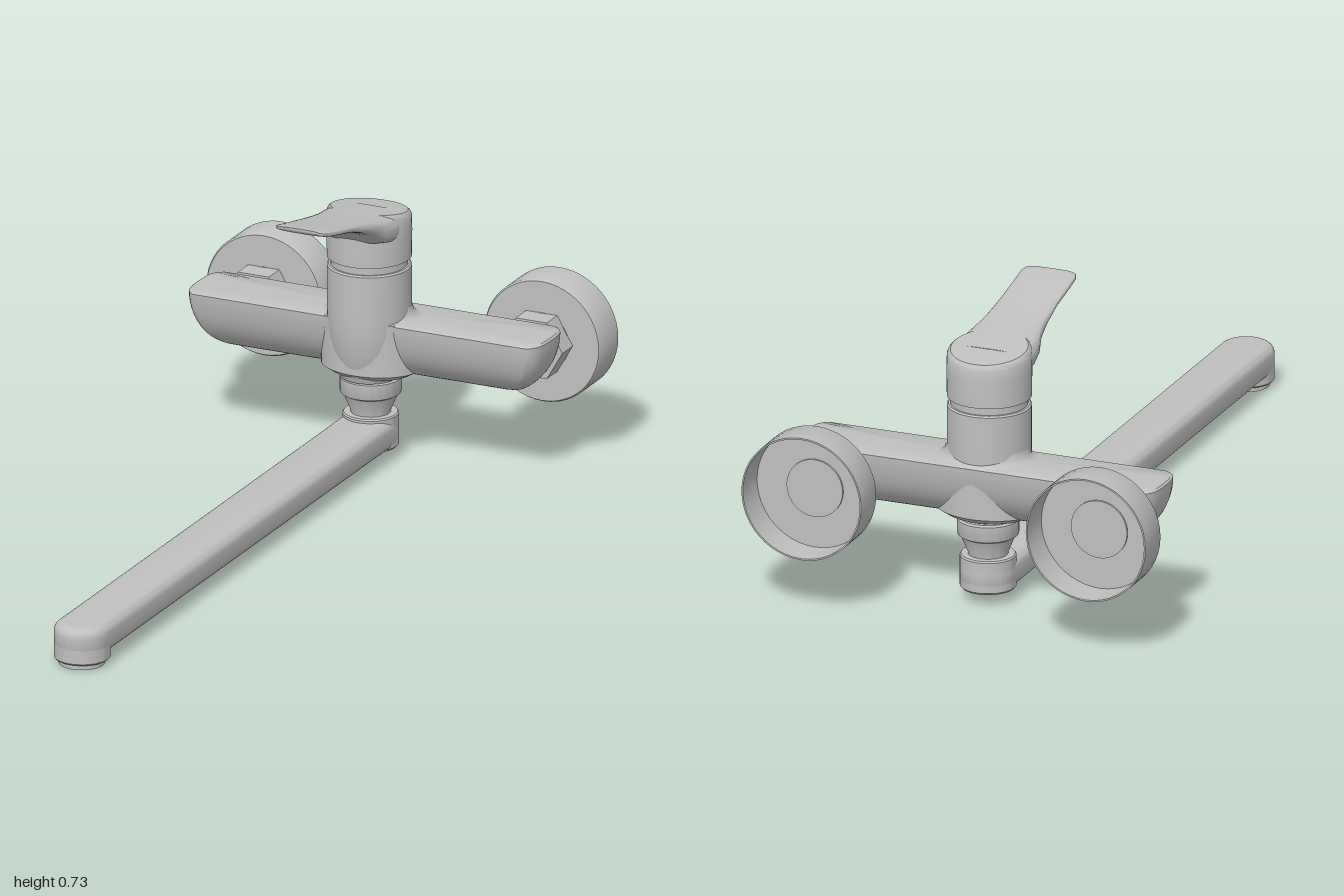
import * as THREE from 'three';
import { toCreasedNormals } from 'three/addons/utils/BufferGeometryUtils.js';

const V = (x, y, z) => new THREE.Vector3(x, y, z);

// Skin a list of closed rings (counter-clockwise about the direction of travel) and cap both ends
function loft(rings) {
  const n = rings[0].length, pos = [], idx = [];
  rings.forEach(r => r.forEach(p => pos.push(p.x, p.y, p.z)));
  for (let i = 0; i < rings.length - 1; i++) {
    for (let j = 0; j < n; j++) {
      const a = i * n + j, b = i * n + (j + 1) % n;
      idx.push(a, b, a + n, b, b + n, a + n);
    }
  }
  [0, rings.length - 1].forEach((i, end) => {
    const c = V(0, 0, 0);
    rings[i].forEach(p => c.addScaledVector(p, 1 / n));
    const k = pos.length / 3;
    pos.push(c.x, c.y, c.z);
    for (let j = 0; j < n; j++) {
      const a = i * n + j, b = i * n + (j + 1) % n;
      if (end) idx.push(k, a, b); else idx.push(k, b, a);
    }
  });
  const g = new THREE.BufferGeometry();
  g.setAttribute('position', new THREE.Float32BufferAttribute(pos, 3));
  g.setIndex(idx);
  return g;
}

// Profile is [radius, height] from the bottom up
const lathe = profile => new THREE.LatheGeometry(profile.map(p => new THREE.Vector2(p[0], p[1])), 48);

export function createModel() {
  const group = new THREE.Group();
  const metal = new THREE.MeshStandardMaterial({ color: 0xc0c0c0 });
  metal.name = 'satin metal';
  const add = (name, geometry, x = 0, y = 0, z = 0, crease = 0.6) => {
    const mesh = new THREE.Mesh(toCreasedNormals(geometry, crease), metal);
    mesh.name = name;
    mesh.position.set(x, y, z);
    group.add(mesh);
    return mesh;
  };

  // Horizontal body: flat top, round belly, ends curving in underneath
  const outline = (L, W, y) => {
    const ring = [];
    for (const s of [1, -1]) {
      for (let k = 0; k <= 12; k++) {
        const u = Math.sin(Math.PI / 2 * (1 - k / 6));
        ring.push(V(s * (L - 0.022 * u ** 6 - 0.008 * u * u), y, s * W * u));
      }
    }
    return ring;
  };
  const rings = [];
  for (let k = 0; k <= 14; k++) {
    const a = 0.03 + (Math.PI / 2 - 0.03) * k / 14;
    rings.push(outline(0.38 + 0.105 * Math.sin(a), 0.0875 * Math.sin(a) ** 0.8, 0.23 + 0.142 * (1 - Math.cos(a))));
  }
  rings.push(outline(0.48, 0.083, 0.376));
  add('mixerBody', loft(rings), 0, 0, -0.737);

  // Central column, with fillets where it meets the body
  const cz = -0.707;
  add('column', lathe([[0, 0.215], [0.072, 0.215], [0.077, 0.23], [0.088, 0.255], [0.098, 0.3], [0.104, 0.35],
    [0.105, 0.39], [0.105, 0.506], [0.101, 0.51], [0, 0.51]]), 0, 0, cz);
  const fillet = add('columnFillet', lathe([[0.075, 0.215], [0.085, 0.218], [0.105, 0.225], [0.13, 0.24], [0.13, 0.375],
    [0.117, 0.38], [0.108, 0.39], [0.105, 0.405]]), 0, 0, -0.72);
  fillet.scale.z = 0.78;
  add('cartridgeNeck', lathe([[0, 0.5], [0.096, 0.5], [0.096, 0.56], [0, 0.56]]), 0, 0, cz);

  // Handle cap with its top sloping up to the front
  const cap = lathe([[0, 0.53], [0.105, 0.53], [0.106, 0.6], [0.105, 0.642], [0.102, 0.65], [0.096, 0.655], [0, 0.656]]);
  const p = cap.attributes.position;
  for (let i = 0; i < p.count; i++) {
    if (p.getY(i) > 0.62) p.setY(i, p.getY(i) + 0.145 * p.getZ(i));
  }
  add('handleCap', cap, 0, 0, cz);

  // Lever blade: [z, half width, top, thickness]
  const stations = [[-0.72, 0.098, 0.655, 0.06], [-0.65, 0.1, 0.666, 0.08], [-0.61, 0.094, 0.672, 0.075],
    [-0.57, 0.083, 0.677, 0.045], [-0.52, 0.077, 0.686, 0.032], [-0.45, 0.073, 0.7, 0.022],
    [-0.38, 0.073, 0.714, 0.019], [-0.33, 0.073, 0.725, 0.017], [-0.316, 0.068, 0.727, 0.014], [-0.31, 0.055, 0.727, 0.008]];
  const pow = (v, e) => Math.sign(v) * Math.abs(v) ** e;
  add('lever', loft(stations.map(([z, w, top, t]) => Array.from({ length: 32 }, (_, j) => {
    const a = j / 32 * Math.PI * 2;
    return V(w * pow(Math.cos(a), 0.6), top - t / 2 + t / 2 * pow(Math.sin(a), 0.6), z);
  }))), 0, 0, 0, 0.8);

  // Wall connections, one on each side
  for (const s of [1, -1]) {
    const side = s > 0 ? 'left' : 'right', x = s * 0.38;
    add(side + 'WallFlange', lathe([[0, -0.91], [0.156, -0.91], [0.156, -1], [0.16, -1], [0.16, -0.904],
      [0.156, -0.897], [0, -0.897]]).rotateX(Math.PI / 2), x, 0.3, 0);
    add(side + 'InletPipe', new THREE.CylinderGeometry(0.056, 0.056, 0.17, 40).rotateX(Math.PI / 2), x, 0.3, -0.78);
    add(side + 'InletSeat', new THREE.CylinderGeometry(0.075, 0.075, 0.02, 40).rotateX(Math.PI / 2), x, 0.3, -0.905);
    add(side + 'HexNut', new THREE.CylinderGeometry(0.085, 0.085, 0.065, 6)
      .rotateY(Math.PI / 2).rotateX(Math.PI / 2), x, 0.3, -0.87, 0.2);
  }

  // Collar and tapered joint below the body
  const sz = -0.715;
  add('spoutCollar', lathe([[0, 0.105], [0.05, 0.105], [0.05, 0.122], [0.068, 0.166], [0.075, 0.17], [0.077, 0.175],
    [0.077, 0.21], [0.073, 0.215], [0, 0.215]]), 0, 0, sz);
  add('spoutElbow', lathe([[0, 0.03], [0.066, 0.03], [0.07, 0.035], [0.07, 0.114], [0.067, 0.118], [0, 0.118]]), 0, 0, sz);

  // Long flat spout with round ends and softened edges
  const b = 0.024, r = 0.07 - b;
  const plan = new THREE.Shape();
  plan.absarc(0, 0.715, r, 0, Math.PI, false);
  plan.absarc(0, -0.93, r, Math.PI, Math.PI * 2, false);
  plan.closePath();
  const spout = new THREE.ExtrudeGeometry(plan, {
    depth: 0.078 - 2 * b, bevelEnabled: true, bevelThickness: b, bevelSize: b, bevelSegments: 5, curveSegments: 20,
  });
  add('spout', spout.rotateX(-Math.PI / 2), 0, 0.03 + b, 0);

  // Outlet under the tip
  add('spoutOutlet', lathe([[0, 0.014], [0.067, 0.014], [0.07, 0.018], [0.07, 0.082], [0, 0.082]]), 0, 0, 0.93);
  add('aerator', lathe([[0, 0.004], [0.048, 0.004], [0.05, 0], [0.057, 0], [0.057, 0.02], [0, 0.02]]), 0, 0, 0.932);

  return group;
}
